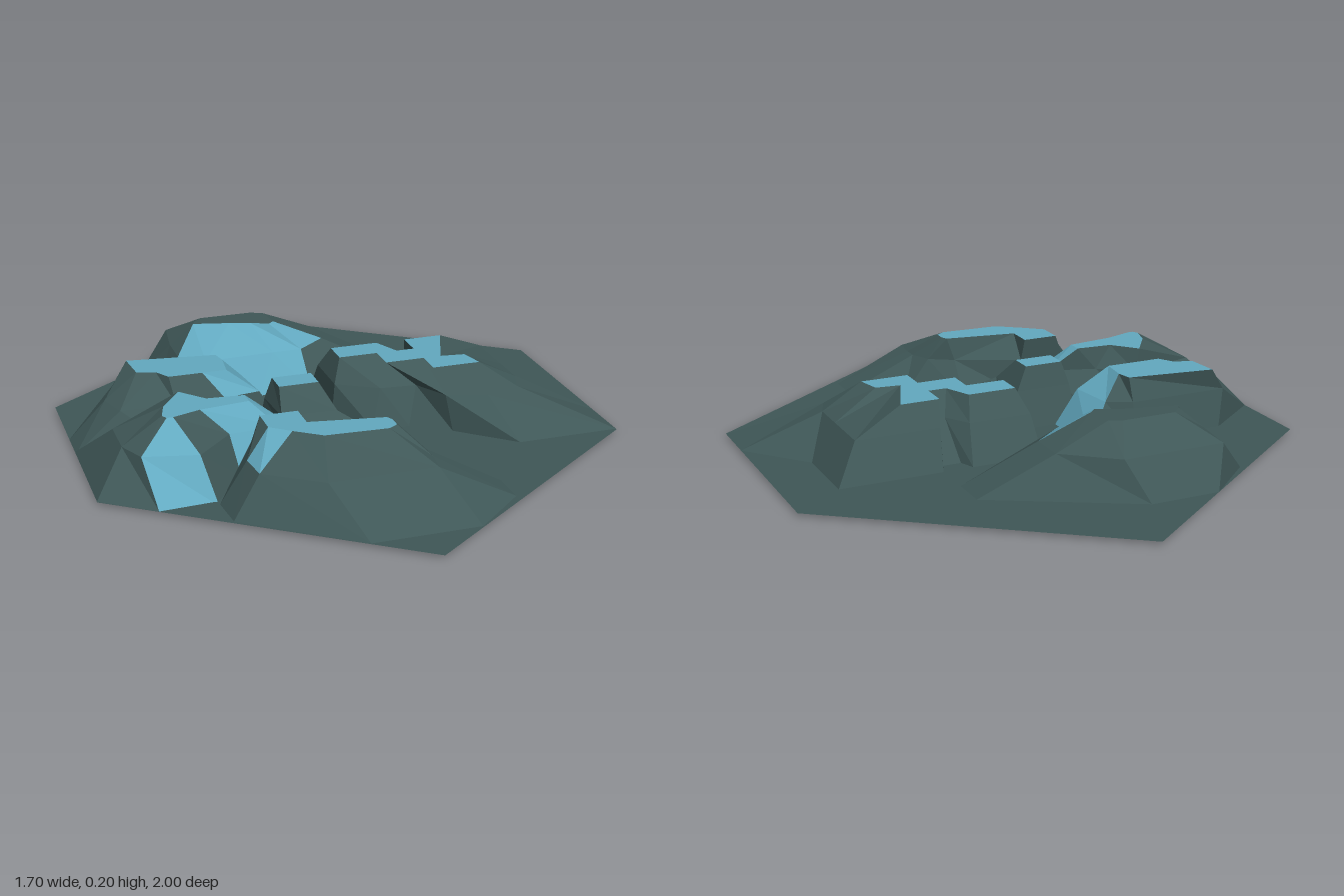
import * as THREE from 'three';

const LEVELS = [0.01, 0.13, 0.205]; // foot, shoulder and crest heights

// Each outcrop: three outlines of [x, z] (optional own y), clockwise from above.
// ice lists which sides of the lower and upper slopes are icy, and the crest.
const outcrops = {
  northOutcrop: {
    rings: [
      [[-0.5, -0.38], [-0.51, -0.6], [-0.34, -0.75], [-0.11, -0.75], [0.34, -0.5], [0.34, -0.38], [0.01, -0.25], [-0.17, -0.26], [-0.34, -0.3]],
      [[-0.42, -0.4], [-0.42, -0.52], [-0.4, -0.67], [-0.06, -0.67], [0.1, -0.54], [0.1, -0.42], [0, -0.34], [-0.1, -0.34], [-0.34, -0.33]],
      [[-0.34, -0.5], [-0.33, -0.52], [-0.3, -0.55], [-0.12, -0.55], [-0.08, -0.53], [-0.07, -0.44], [-0.09, -0.42], [-0.15, -0.45], [-0.22, -0.47]],
    ],
    ice: { lower: [6, 7, 8], upper: [5, 6, 7, 8], crest: false },
  },
  westOutcrop: {
    rings: [
      [[-0.85, -0.1], [-0.65, -0.25], [-0.34, -0.25], [-0.17, -0.25], [-0.17, 0], [-0.34, 0.1], [-0.53, 0.1], [-0.85, 0.02]],
      [[-0.73, -0.1], [-0.68, -0.22], [-0.34, -0.22], [-0.26, -0.18], [-0.24, -0.02], [-0.36, 0], [-0.52, 0], [-0.7, 0]],
      [[-0.62, -0.12], [-0.63, -0.23], [-0.34, -0.19], [-0.33, -0.14], [-0.34, -0.05], [-0.42, -0.05], [-0.53, -0.05], [-0.56, -0.1]],
    ],
    ice: { lower: [3, 5], upper: [3, 4], crest: true },
  },
  southWestOutcrop: {
    rings: [
      [[-0.51, 0.05], [-0.34, 0.1], [-0.2, 0.2], [-0.23, 0.33], [-0.4, 0.34], [-0.51, 0.49, 0], [-0.69, 0.49], [-0.85, 0.37], [-0.85, 0]],
      [[-0.51, 0.07], [-0.4, 0.15], [-0.24, 0.2], [-0.26, 0.27], [-0.42, 0.28], [-0.54, 0.4], [-0.71, 0.36], [-0.75, 0.27], [-0.75, 0.13]],
      [[-0.53, 0.08], [-0.46, 0.16], [-0.34, 0.17], [-0.34, 0.22], [-0.5, 0.24], [-0.59, 0.27], [-0.61, 0.27], [-0.62, 0.25], [-0.6, 0.18]],
    ],
    ice: { lower: [2, 3, 5], upper: [2, 3, 5], crest: true },
  },
  centreOutcrop: {
    rings: [
      [[-0.25, 0], [0, 0], [0.17, 0.37], [-0.2, 0.34]],
      [[-0.24, 0.04], [-0.05, 0.04], [-0.05, 0.21], [-0.23, 0.2]],
      [[-0.22, 0.06], [-0.09, 0.06], [-0.09, 0.14], [-0.22, 0.14]],
    ],
    ice: { lower: [], upper: [], crest: true },
  },
  southOutcrop: {
    rings: [
      [[-0.4, 0.34], [-0.2, 0.34], [0, 0.37], [0.17, 0.5], [0.34, 0.61], [0.34, 0.72], [0.17, 0.87], [-0.17, 0.87], [-0.5, 0.62], [-0.51, 0.5]],
      [[-0.37, 0.35], [-0.21, 0.35], [0, 0.45], [0.08, 0.5], [0.11, 0.57], [0.11, 0.62], [0.1, 0.7], [-0.24, 0.7], [-0.41, 0.58], [-0.42, 0.48]],
      [[-0.34, 0.34], [-0.22, 0.34], [-0.22, 0.43], [0.02, 0.47], [0.03, 0.49], [0.03, 0.53], [0, 0.55], [-0.2, 0.54], [-0.28, 0.48], [-0.34, 0.43]],
    ],
    ice: { lower: [], upper: [8], crest: true },
  },
  eastOutcrop: {
    rings: [
      [[0, -0.25], [0.24, -0.25], [0.26, -0.2], [0.32, -0.2], [0.34, -0.25], [0.68, -0.25], [0.68, 0], [0.85, 0.2], [0.85, 0.37], [0.51, 0.37], [0.34, 0.22], [0.22, 0.14], [0.1, 0.12], [0, 0]],
      [[0.01, -0.18], [0.22, -0.18], [0.27, -0.1], [0.31, -0.1], [0.32, -0.18], [0.6, -0.18], [0.6, 0], [0.6, 0.12], [0.57, 0.2], [0.45, 0.24], [0.32, 0.2], [0.26, 0.09], [0.14, 0.08], [0.01, 0]],
      [[0.04, -0.13], [0.2, -0.13], [0.24, -0.04], [0.3, -0.04], [0.3, -0.13], [0.43, -0.13], [0.36, 0.05], [0.44, 0.06], [0.46, 0.14], [0.3, 0.14], [0.3, 0.05], [0.17, 0.05], [0.17, -0.04], [0.04, -0.04]],
    ],
    ice: { lower: [], upper: [], crest: true },
  },
};

const materials = {
  rock: new THREE.MeshStandardMaterial({ color: 0x3f5757, flatShading: true, side: THREE.DoubleSide }),
  ice: new THREE.MeshStandardMaterial({ color: 0x62a9c0, flatShading: true, side: THREE.DoubleSide }),
};

// Unindexed mesh from a flat list of triangle corners
function facets(name, corners, material) {
  const geometry = new THREE.BufferGeometry().setFromPoints(corners);
  geometry.computeVertexNormals();
  const mesh = new THREE.Mesh(geometry, material);
  mesh.name = name;
  return mesh;
}

// Skins the outlines of one outcrop and caps the crest
function makeOutcrop(name, { rings, ice }) {
  const parts = { rock: [], ice: [] };
  const loops = rings.map((ring, k) =>
    ring.map(([x, z, y = LEVELS[k]]) => new THREE.Vector3(x, y, z)));
  [ice.lower, ice.upper].forEach((icySides, k) => {
    const low = loops[k], high = loops[k + 1];
    low.forEach((a, i) => {
      const j = (i + 1) % low.length;
      const list = icySides.includes(i) ? parts.ice : parts.rock;
      list.push(a, high[i], high[j], a, high[j], low[j]);
    });
  });
  const crest = loops[2];
  const outline = crest.map((p) => new THREE.Vector2(p.x, p.z));
  for (const face of THREE.ShapeUtils.triangulateShape(outline, [])) {
    const [a, b, c] = face.map((i) => crest[i]);
    const up = (b.z - a.z) * (c.x - a.x) - (b.x - a.x) * (c.z - a.z) > 0;
    (ice.crest ? parts.ice : parts.rock).push(a, up ? b : c, up ? c : b);
  }
  const group = new THREE.Group();
  group.name = name;
  for (const kind of ['rock', 'ice']) {
    if (parts[kind].length) group.add(facets(kind + 'Facets', parts[kind], materials[kind]));
  }
  return group;
}

export function createModel() {
  const model = new THREE.Group();
  model.name = 'rockyTile';

  // Flat six-sided ground
  const hexagon = [[0, 1], [0.85, 0.375], [0.85, -0.375], [0, -1], [-0.85, -0.375], [-0.85, 0.375]];
  const shape = new THREE.Shape(hexagon.map(([x, z]) => new THREE.Vector2(x, -z)));
  const ground = new THREE.Mesh(new THREE.ShapeGeometry(shape).rotateX(-Math.PI / 2), materials.rock);
  ground.position.y = LEVELS[0];
  ground.name = 'ground';
  model.add(ground);

  // Rock outcrops
  for (const [name, spec] of Object.entries(outcrops)) model.add(makeOutcrop(name, spec));
  return model;
}
